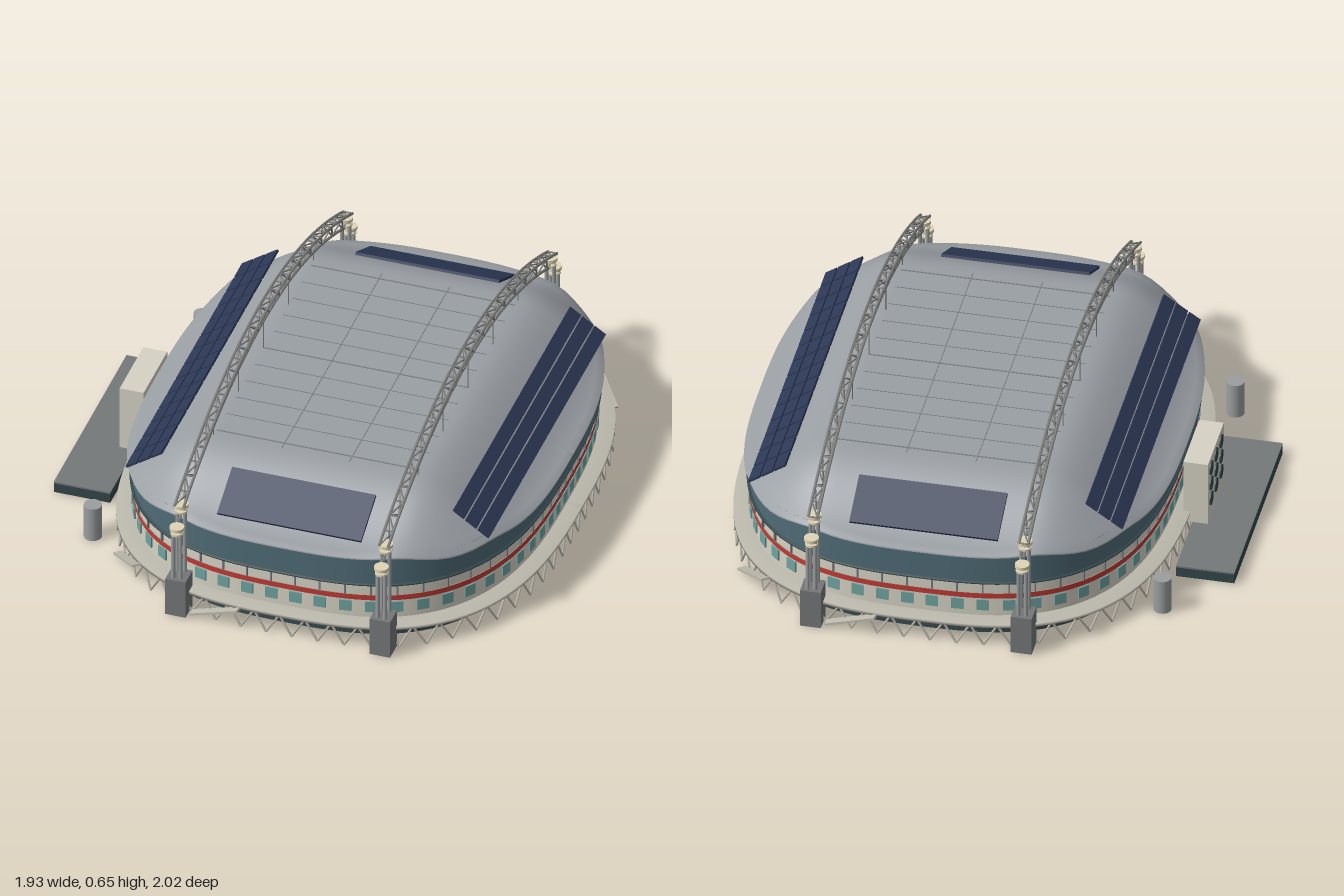
import * as THREE from 'three';
import { mergeGeometries } from 'three/addons/utils/BufferGeometryUtils.js';

const mat = (color) => new THREE.MeshStandardMaterial({ color, side: THREE.DoubleSide });
const M = {
  roof: mat(0x9a9fa4), seam: mat(0x7d8286), teal: mat(0x4f6b76), cream: mat(0xd6d2c4), red: mat(0xc03a34),
  glass: mat(0x6fa3a0), base: mat(0x3c5056), navy: mat(0x2c3855), deck: mat(0xbcb9ad), block: mat(0x757678),
  truss: mat(0x80817f), steel: mat(0x9a9e9f), cap: mat(0xdfd4b5), paving: mat(0x75787a), dark: mat(0x33464b),
};
const V = (x, y, z) => new THREE.Vector3(x, y, z);

// Rounded plan outline: point at angle t, pushed outwards by off
function plan(t, off = 0, y = 0) {
  const c = Math.cos(t), s = Math.sin(t), n = 2.8;
  const r = (Math.abs(c / (0.715 + off)) ** n + Math.abs(s / (0.87 + off)) ** n) ** (-1 / n);
  return V(r * c, y, r * s);
}
const smooth = THREE.MathUtils.smoothstep;
// Roof height: falls towards the long sides and the ends
const roofY = (x, z) => 0.475 - 0.19 * smooth(Math.abs(x), 0.36, 0.76) - 0.135 * smooth(Math.abs(z), 0.53, 0.89);

// Skin over closed rows, each row a function of angle
function loft(rows, seg = 128) {
  const pos = [], idx = [];
  rows.forEach((row, j) => {
    for (let i = 0; i <= seg; i++) {
      pos.push(...row((i / seg) * Math.PI * 2).toArray());
      if (j && i < seg) {
        const d = j * (seg + 1) + i, a = d - seg - 1;
        idx.push(a, d, a + 1, a + 1, d, d + 1);
      }
    }
  });
  const g = new THREE.BufferGeometry();
  g.setAttribute('position', new THREE.Float32BufferAttribute(pos, 3));
  g.setIndex(idx);
  g.computeVertexNormals();
  return g;
}
function beam(a, b, r, sides = 6) {
  const d = b.clone().sub(a);
  const g = new THREE.CylinderGeometry(r, r, d.length(), sides);
  g.applyQuaternion(new THREE.Quaternion().setFromUnitVectors(V(0, 1, 0), d.normalize()));
  const m = a.clone().add(b).multiplyScalar(0.5);
  return g.translate(m.x, m.y, m.z);
}
const box = (w, h, d, x, y, z) => new THREE.BoxGeometry(w, h, d).translate(x, y, z);
const disc = (r, h, x, y, z) => new THREE.CylinderGeometry(r, r, h, 20).translate(x, y, z);

export function createModel() {
  const model = new THREE.Group();
  const hall = new THREE.Group();
  hall.name = 'stadium';
  hall.rotation.y = 0.508;
  hall.position.x = 0.072;
  model.add(hall);
  const add = (name, geo, material, parent = hall) => {
    const m = new THREE.Mesh(Array.isArray(geo) ? mergeGeometries(geo) : geo, material);
    m.name = name;
    parent.add(m);
    return m;
  };
  const band = (name, y0, y1, off0, off1, m) =>
    add(name, loft([(t) => plan(t, off0, y0), (t) => plan(t, off1, y1)]), m);

  // Walls, open shells from the ground up
  band('baseWall', 0, 0.085, -0.02, -0.01, M.base);
  band('lowerWall', 0.085, 0.156, 0, 0, M.cream);
  band('redStripe', 0.156, 0.176, 0.003, 0.003, M.red);
  band('galleryWall', 0.176, 0.225, 0, 0, M.cream);
  const rim = (off) => (t) => { const p = plan(t, off); p.y = roofY(p.x, p.z); return p; };
  add('upperWall', loft([(t) => plan(t, 0.004, 0.225), rim(0.004)]), M.teal);

  // Roof shell with a thin lip
  const rows = [(t) => { const p = rim(0.02)(t); p.y -= 0.008; return p; }];
  for (let k = 28; k >= 0; k--) rows.push((t) => {
    const p = plan(t, 0.02).multiplyScalar(Math.max(k / 28, 0.001));
    p.y = roofY(p.x, p.z);
    return p;
  });
  add('roof', loft(rows), M.roof);

  // Roof seams
  const seams = [];
  for (let i = -5; i <= 5; i++) seams.push(box(0.72, 0.002, i % 5 ? 0.002 : 0.005, 0, 0.4755, i * 0.1));
  for (const x of [-0.12, 0.12]) seams.push(box(0.003, 0.002, 1.06, x, 0.4755, 0));
  add('roofSeams', seams, M.seam);

  // Windows and gallery mullions around the wall
  const windows = [], mullions = [];
  const around = (t, g, y) => {
    const p = plan(t), q = plan(t + 0.01).sub(plan(t - 0.01));
    return g.rotateY(Math.atan2(-q.z, q.x)).translate(p.x, y, p.z);
  };
  for (let i = 0; i < 64; i++) {
    const t = ((i + 0.5) / 64) * Math.PI * 2;
    windows.push(around(t, new THREE.BoxGeometry(0.042, 0.042, 0.01), 0.129));
    mullions.push(around(t, new THREE.BoxGeometry(0.005, 0.045, 0.016), 0.201));
  }
  add('windows', windows, M.glass);
  add('mullions', mullions, M.seam);
  add('galleryLedge', loft([[0, 0.22], [0.012, 0.22], [0.012, 0.226], [0, 0.226]]
    .map(([o, y]) => (t) => plan(t, o, y))), M.dark);

  // Walkway ring on zigzag struts
  add('walkway', loft([[-0.02, 0.072], [0.055, 0.072], [0.055, 0.084], [-0.02, 0.084]]
    .map(([o, y]) => (t) => plan(t, o, y))), M.deck);
  const struts = [], N = 64;
  for (let i = 0; i < N; i++) {
    const at = (k, o, y) => plan(((i + k) / N) * Math.PI * 2, o, y);
    struts.push(beam(at(0, 0.045, 0.075), at(0.5, 0.05, 0), 0.004, 5));
    struts.push(beam(at(0.5, 0.05, 0), at(1, 0.045, 0.075), 0.004, 5));
  }
  add('walkwayStruts', struts, M.deck);

  // Ramps down from the walkway at both ends
  for (const turn of [0, Math.PI]) for (const a of [-0.88, -1.33]) {
    const p = plan(a + turn, 0.06), q = plan(a + turn + 0.05).sub(plan(a + turn - 0.05));
    const ramp = new THREE.BoxGeometry(0.19, 0.008, 0.03).rotateZ(-0.36);
    add('ramp', ramp.rotateY(Math.atan2(-q.z, q.x)).translate(p.x, 0.042, p.z), M.deck);
  }

  // Solar panels: tilted arrays on the long sides, one slab at each end
  for (const s of [-1, 1]) {
    const cells = [];
    for (let i = 0; i < 3; i++) for (let j = 0; j < 14; j++)
      cells.push(box(0.047, 0.008, 0.081, (i - 1) * 0.053, 0, (j - 6.5) * 0.0886));
    const side = add('sideSolarPanels', cells, M.navy);
    side.position.set(s * 0.58, 0.38, 0);
    side.rotation.z = -s * 0.6;
    const end = add('endSolarPanel', new THREE.BoxGeometry(0.51, 0.01, 0.18), M.navy);
    end.position.set(0, 0.405, s * 0.73);
    end.rotation.x = s * 0.48;
  }

  // Two truss arches with hangers and end pylons
  const arch = (x, z, dx, dy) => V(x + dx, 0.4 + 0.215 * (1 - (z / 0.893) ** 2) + dy, z);
  for (const s of [-1, 1]) {
    const g = new THREE.Group();
    g.name = 'archTruss';
    hall.add(g);
    const x = s * 0.3625, parts = [], n = 32;
    const corners = [[-0.016, 0.026], [0.016, 0.026], [0, -0.03]];
    for (const [dx, dy] of corners) {
      const pts = [];
      for (let i = 0; i <= n; i++) pts.push(arch(x, -0.893 + (1.786 * i) / n, dx, dy));
      parts.push(new THREE.TubeGeometry(new THREE.CatmullRomCurve3(pts), 64, 0.005, 6));
    }
    for (let i = 0; i < n; i++) {
      const at = (k, c) => arch(x, -0.893 + (1.786 * (i + k)) / n, ...corners[c]);
      parts.push(beam(at(0, 0), at(0, 1), 0.003, 5), beam(at(0, i % 2), at(1, 1 - (i % 2)), 0.003, 5));
      for (const c of [0, 1]) parts.push(i % 2 ? beam(at(0, 2), at(1, c), 0.003, 5) : beam(at(0, c), at(1, 2), 0.003, 5));
    }
    add('truss', parts, M.truss, g);
    add('hangers', [-0.53, -0.265, 0, 0.265, 0.53].map((z) =>
      beam(V(x, roofY(x, z), z), arch(x, z, 0, -0.03), 0.002, 5)), M.truss, g);
    for (const e of [-1, 1]) {
      const zi = e * 0.87, zo = e * 0.915;
      add('pylonBlock', box(0.072, 0.145, 0.075, x, 0.0725, e * 0.895), M.block, g);
      add('pylonColumns', [
        ...[-0.013, 0.013].map((d) => beam(V(x + d, 0.14, zi), V(x + d, 0.4, zi), 0.007, 10)),
        ...[-0.013, 0.013].map((d) => beam(V(x + d, 0.14, zo), V(x + d, 0.35, zo), 0.007, 10)),
      ], M.steel, g);
      add('pylonCaps', [disc(0.025, 0.012, x, 0.418, zi), disc(0.022, 0.008, x, 0.395, zi),
        disc(0.025, 0.012, x, 0.352, zo), disc(0.022, 0.008, x, 0.332, zo)], M.cap, g);
    }
  }

  // Entrance plaza, screen tower with round openings, and two drums
  add('plazaBase', box(0.2, 0.036, 0.77, -0.877, 0.018, 0), M.dark);
  add('plazaPaving', box(0.2, 0.006, 0.77, -0.877, 0.039, 0), M.paving);
  add('entranceTower', box(0.085, 0.243, 0.25, -0.788, 0.1635, 0), M.cream);
  const holes = [];
  for (let i = -1; i <= 1; i++) for (let j = -1; j <= 1; j++)
    holes.push(new THREE.CylinderGeometry(0.025, 0.025, 0.006, 20).rotateZ(Math.PI / 2)
      .translate(-0.8315, 0.18 + i * 0.062, j * 0.078));
  add('towerOpenings', holes, M.dark);
  for (const z of [-0.578, 0.583]) add('drum', disc(0.031, 0.13, -0.772, 0.065, z), M.steel);

  return model;
}
